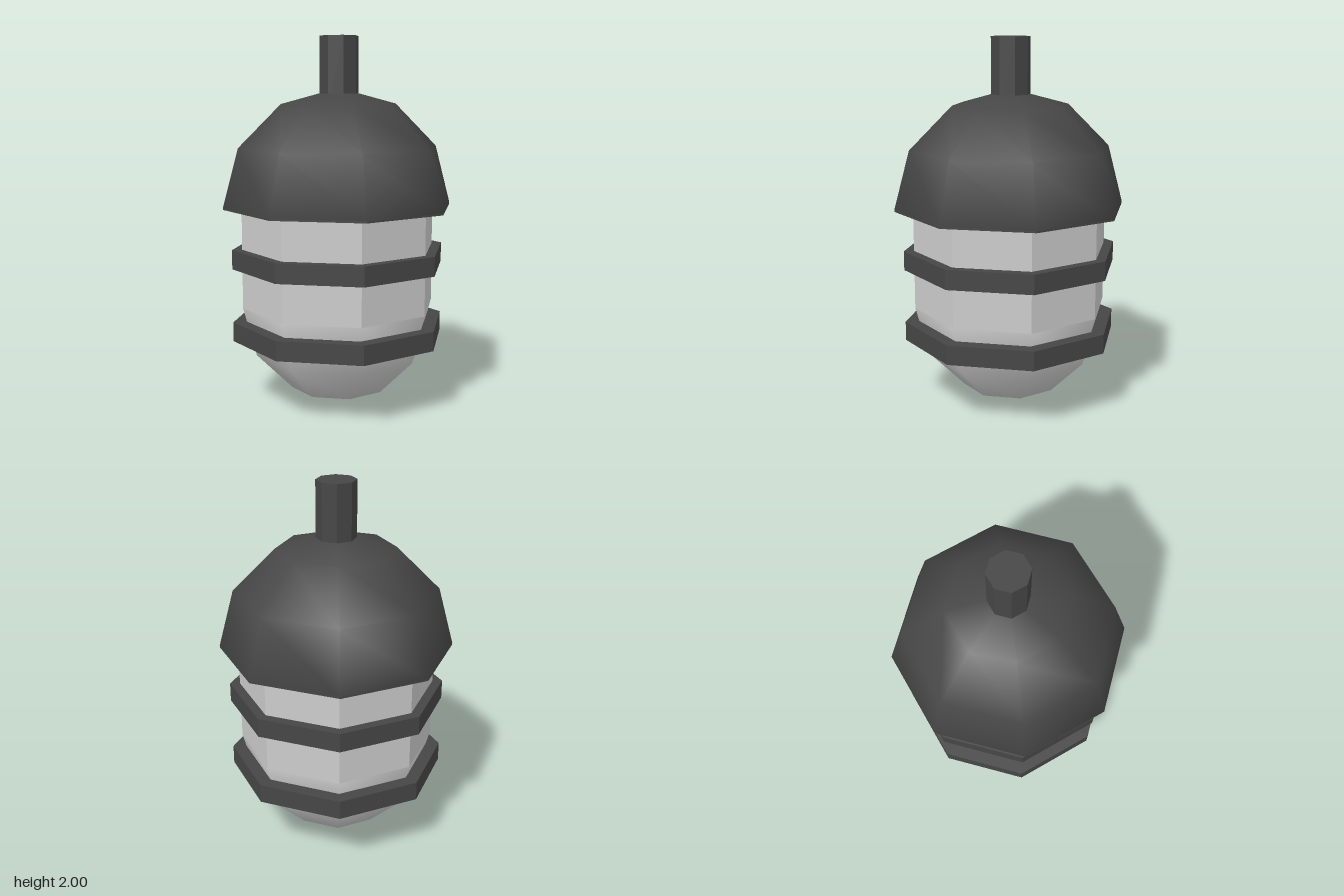
import * as THREE from 'three';

const SIDES = 8;

export function createModel() {
  const group = new THREE.Group();
  const metal = new THREE.MeshStandardMaterial({ color: 0x464646 });
  const metalFlat = new THREE.MeshStandardMaterial({ color: 0x464646, flatShading: true });
  const glass = new THREE.MeshStandardMaterial({ color: 0xcccccc });
  const glassFlat = new THREE.MeshStandardMaterial({ color: 0xcccccc, flatShading: true });

  const add = (name, geometry, material) => {
    const mesh = new THREE.Mesh(geometry, material);
    mesh.name = name;
    group.add(mesh);
  };
  // Octagonal prism between two heights
  const prism = (name, radius, y0, y1, material, open = false) =>
    add(name, new THREE.CylinderGeometry(radius, radius, y1 - y0, SIDES, 1, open)
      .translate(0, (y0 + y1) / 2, 0), material);

  // Glass: straight body with a rounded bottom
  const glassR = 0.535;
  prism('glassBody', glassR, glassR, 1.08, glassFlat, true);
  add('glassBottom', new THREE.SphereGeometry(glassR, SIDES, 3, 0, Math.PI * 2, Math.PI / 2, Math.PI / 2)
    .translate(0, glassR, 0), glass);

  // Guard rings around the glass
  prism('lowerRing', 0.59, 0.355, 0.46, metalFlat);
  prism('upperRing', 0.59, 0.755, 0.86, metalFlat);

  // Domed cap with a thin closed rim
  const capR = 0.635;
  add('capDome', new THREE.SphereGeometry(capR, SIDES, 3, 0, Math.PI * 2, 0, Math.PI / 2)
    .translate(0, 1.09, 0), metal);
  prism('capRim', capR, 1.08, 1.09, metalFlat);

  // Hanging rod
  prism('rod', 0.107, 1.6, 2, metalFlat);

  return group;
}
